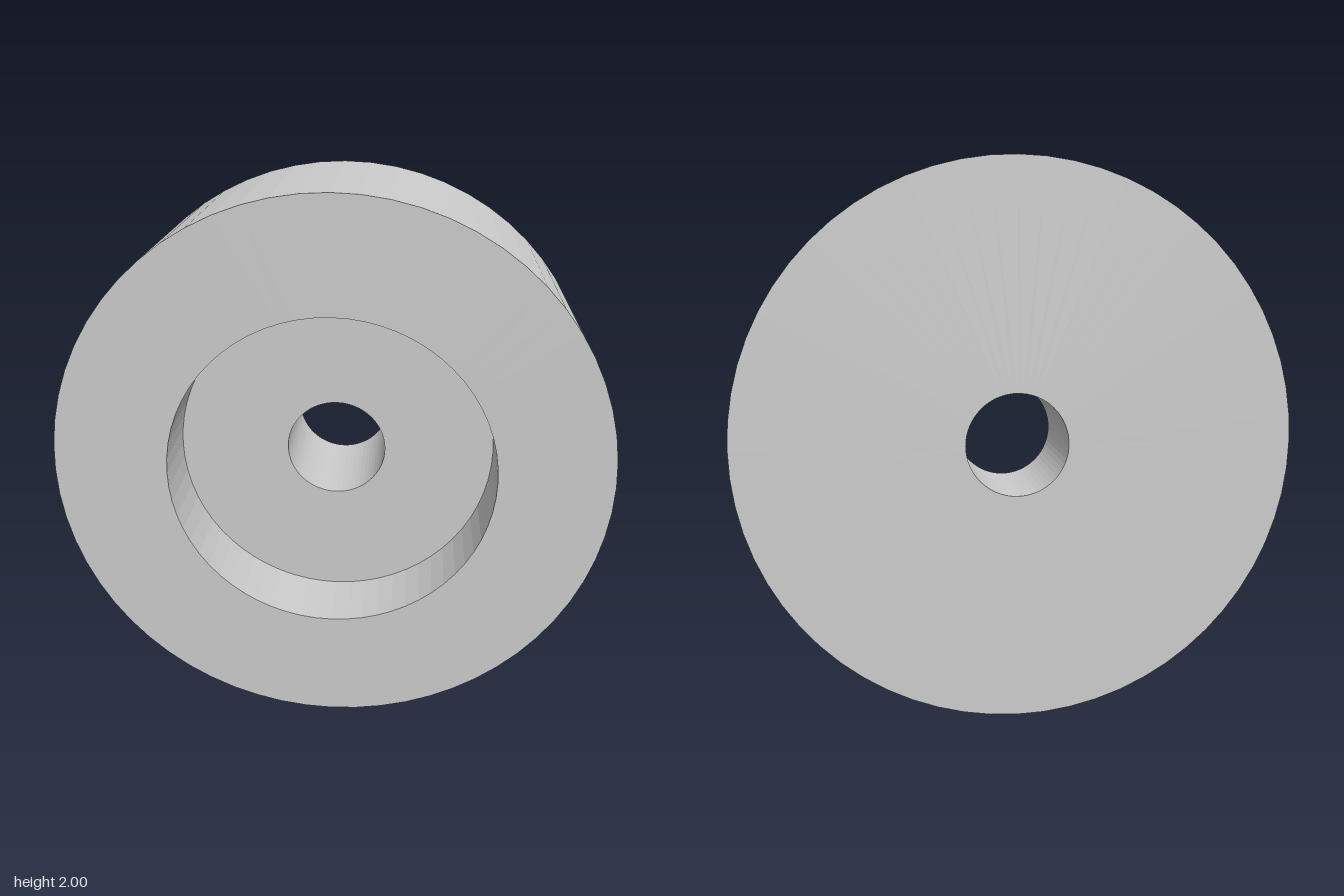
import * as THREE from 'three';

const RADIUS = 1, HALF = 0.36, RECESS_RADIUS = 0.59, RECESS_FLOOR = 0.09, BORE_RADIUS = 0.184;

export function createModel() {
  const model = new THREE.Group();
  model.name = 'wheel';

  // Closed section: back face, rim, front face, recess wall, recess floor, bore
  const section = [
    [BORE_RADIUS, -HALF],
    [RADIUS, -HALF],
    [RADIUS, HALF],
    [RECESS_RADIUS, HALF],
    [RECESS_RADIUS, RECESS_FLOOR],
    [BORE_RADIUS, RECESS_FLOOR],
    [BORE_RADIUS, -HALF],
  ].map(([r, y]) => new THREE.Vector2(r, y));

  const geometry = new THREE.LatheGeometry(section, 64);
  geometry.rotateX(Math.PI / 2); // axle along z, recess towards the front

  const wheel = new THREE.Mesh(
    geometry,
    new THREE.MeshStandardMaterial({ color: 0xcccccc, flatShading: true })
  );
  wheel.name = 'wheelBody';
  wheel.rotation.y = THREE.MathUtils.degToRad(50.4); // turned towards its left
  wheel.position.y = RADIUS;
  model.add(wheel);

  return model;
}
